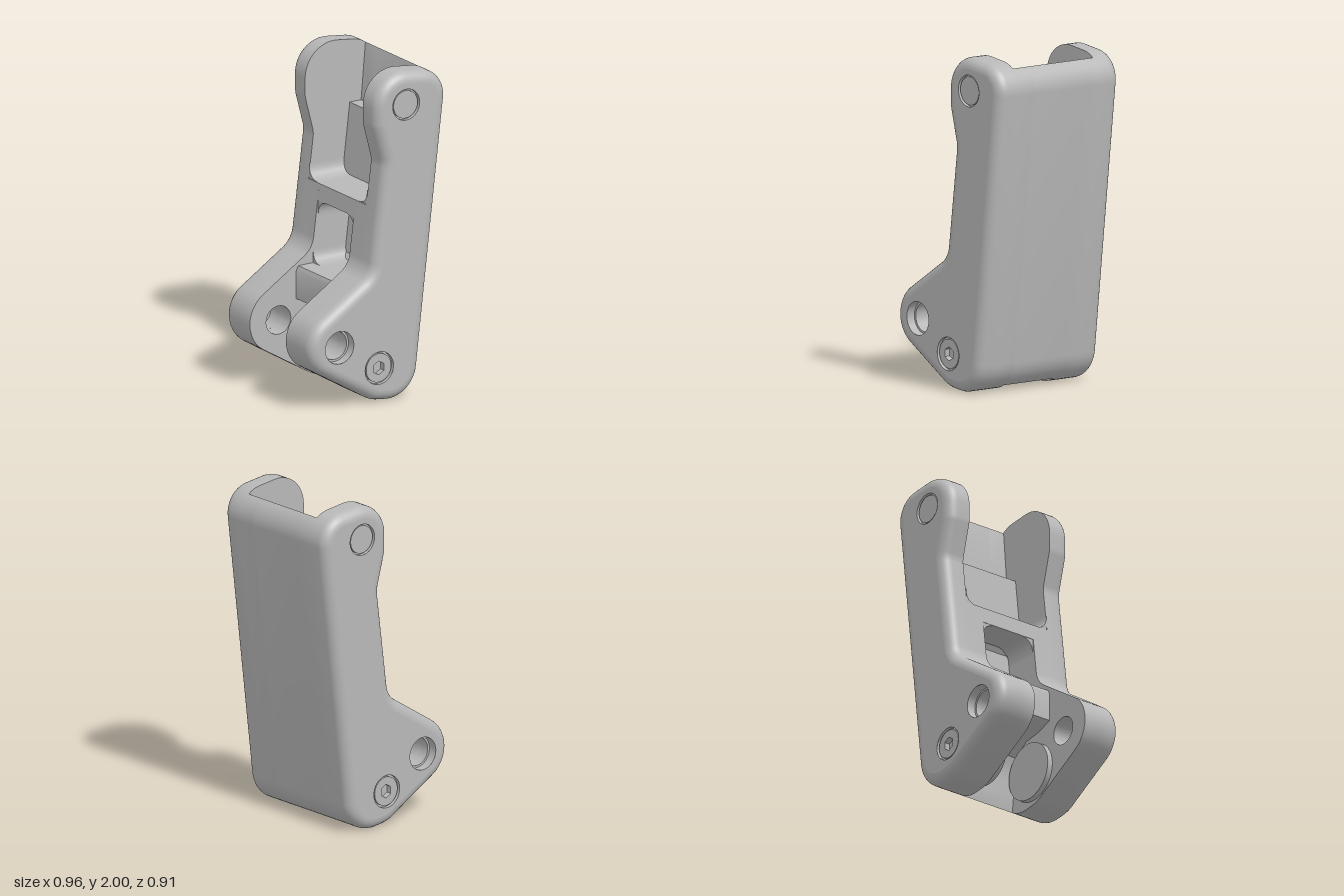
import * as THREE from 'three';
import { toCreasedNormals } from 'three/addons/utils/BufferGeometryUtils.js';

const OUT = 0.457, POCKET = 0.305, SLOT = 0.19, FILLET = 0.065;
const PIN = [0.19, 1.805], FORK = [-0.28, 0.39], SCREW = [0, 0.215];
const V = (x, y) => new THREE.Vector2(x, y);

// Polygon with each corner [x, y, radius] replaced by an arc
function rounded(corners, steps = 12) {
  const pts = [], n = corners.length;
  corners.forEach(([x, y, r], i) => {
    const p = V(x, y), [ax, ay] = corners[(i + n - 1) % n], [bx, by] = corners[(i + 1) % n];
    const a = V(ax, ay).sub(p).normalize(), b = V(bx, by).sub(p).normalize();
    const half = Math.acos(a.dot(b)) / 2;
    const mid = a.clone().add(b).normalize();
    const c = p.clone().addScaledVector(mid, r / Math.sin(half));
    const start = p.clone().addScaledVector(a, r / Math.tan(half)).sub(c);
    const turn = Math.sign(-a.x * b.y + a.y * b.x) * (Math.PI - 2 * half);
    for (let k = 0; k <= steps; k++) {
      pts.push(start.clone().rotateAround(V(0, 0), turn * k / steps).add(c));
    }
  });
  return pts;
}

// Side outline, counterclockwise from the top
const outline = rounded([
  [-0.015, 2.027, 0.2], [-0.015, 1.69, 0.15], [0.045, 1.46, 0.15], [-0.04, 0.79, 0.15],
  [-0.661, 0.39, 0.2], [-0.03, 0.012, 0.2], [0.264, -0.028, 0.2], [0.499, 1.963, 0.17],
]);

// Back wall and step of the upper pocket, down to its floor
const upperPocket = [V(0.41, 1.945), V(0.38, 1.6), V(0.3, 1.6), V(0.25, 1.18), V(0.0095, 1.18)];

function shapeWithHoles(pts, holes = []) {
  const s = new THREE.Shape(pts);
  for (const [[x, y], r] of holes) s.holes.push(new THREE.Path().absarc(x, y, r, 0, Math.PI * 2, true));
  return s;
}

// Outline inset along its normals
function inset(pts, d) {
  const n = pts.length;
  return pts.map((p, i) => {
    const e1 = p.clone().sub(pts[(i + n - 1) % n]).normalize();
    const e2 = pts[(i + 1) % n].clone().sub(p).normalize();
    const t = e1.add(e2).normalize();
    return V(p.x - t.y * d, p.y + t.x * d);
  });
}

// Plate rim: straight wall, then a quarter-round fillet to the outer face
function rimGeometry() {
  const pos = [], index = [], n = outline.length, steps = 7;
  const rings = [[outline, POCKET]];
  for (let k = 0; k <= steps; k++) {
    const t = (k / steps) * Math.PI / 2;
    rings.push([inset(outline, FILLET * (1 - Math.cos(t))), OUT - FILLET + FILLET * Math.sin(t)]);
  }
  rings.forEach(([pts, z], j) => pts.forEach((p, i) => {
    pos.push(p.x, p.y, z);
    if (j === 0) return;
    const a = (j - 1) * n + i, b = (j - 1) * n + (i + 1) % n;
    index.push(a, b, b + n, a, b + n, a + n);
  }));
  const g = new THREE.BufferGeometry();
  g.setAttribute('position', new THREE.Float32BufferAttribute(pos, 3));
  g.setIndex(index);
  return g;
}

export function createModel() {
  const metal = new THREE.MeshStandardMaterial({ color: 0xb8b8b8 });
  metal.name = 'grey metal';
  const metalOpen = metal.clone();
  metalOpen.side = THREE.DoubleSide;

  const model = new THREE.Group();
  model.name = 'hingeBracket';

  function add(parent, name, geometry, mat = metal) {
    const mesh = new THREE.Mesh(toCreasedNormals(geometry, 0.6), mat);
    mesh.name = name;
    parent.add(mesh);
    return mesh;
  }
  const extrude = (shape, depth, z) => new THREE.ExtrudeGeometry(shape,
    { depth, bevelEnabled: false, curveSegments: 32 }).translate(0, 0, z);

  // Turned surface about an axis along z
  function turned(parent, name, [x, y], profile) {
    const g = new THREE.LatheGeometry(profile.map(([r, z]) => V(r, z)), 40);
    add(parent, name, g.rotateX(Math.PI / 2).translate(x, y, 0), metalOpen);
  }

  // Concave rounding in a pocket corner, running along x
  function cornerFill(parent, y, z, s, r, x0, x1) {
    const shape = new THREE.Shape();
    shape.moveTo(0, 0);
    shape.lineTo(r, 0);
    shape.quadraticCurveTo(0, 0, 0, s * r);
    const g = new THREE.ExtrudeGeometry(shape, { depth: x1 - x0, bevelEnabled: false });
    add(parent, 'pocketCorner', g.rotateY(Math.PI / 2).translate(x0, y, z));
  }

  // Core: back wall, shelf, web and clearance around the screw
  const core = [
    ...outline.filter((p) => p.x > 0.18 && (p.y < 1 || p.x > 0.41)),
    ...upperPocket,
    V(-0.003, 1.08), V(0.21, 1.08), V(0.23, 1.05), V(0.19, 0.73), V(0.16, 0.70),
    V(-0.14, 0.70), V(-0.155, 0.67), V(-0.155, 0.5),
    V(-0.05, 0.46), V(0.06, 0.44), V(0.16, 0.37), V(0.2, 0.25), V(0.18, 0.12),
  ];
  add(model, 'core', extrude(new THREE.Shape(core), SLOT * 2, -SLOT));

  const cheek = [...outline.filter((p) => p.y < 1 || p.x > 0.41), ...upperPocket];

  for (const side of [1, -1]) {
    const half = new THREE.Group();
    half.name = side > 0 ? 'frontHalf' : 'backHalf';
    half.scale.z = side;
    model.add(half);

    // Cheek between the fork slot and the side plate
    add(half, 'cheek', extrude(shapeWithHoles(cheek, [[FORK, 0.087]]), POCKET - SLOT, SLOT));

    // Side plate
    add(half, 'plateRim', rimGeometry());
    const face = shapeWithHoles(inset(outline, FILLET), [[PIN, 0.095], [FORK, 0.1], [SCREW, 0.1]]);
    add(half, 'plateFace', new THREE.ShapeGeometry(face, 40).translate(0, 0, OUT));
    const inner = shapeWithHoles(outline, [[FORK, 0.087]]);
    add(half, 'plateInnerFace', new THREE.ShapeGeometry(inner, 40).rotateY(Math.PI)
      .scale(-1, 1, 1).translate(0, 0, POCKET), metalOpen);

    // Upper pin seat and fork bore
    turned(half, 'pinSeat', PIN, [[0.095, OUT], [0.095, 0.435], [0.085, 0.435], [0.085, 0.45], [0, 0.45]]);
    turned(half, 'forkBore', FORK, [[0.1, OUT], [0.1, 0.4], [0.087, 0.4], [0.087, POCKET]]);

    // Screw head with a hexagonal socket
    turned(half, 'screwRim', SCREW, [[0.1, OUT], [0.1, 0.435], [0.088, 0.435], [0.088, 0.45]]);
    const hex = Array.from({ length: 6 }, (_, i) => {
      const a = Math.PI / 6 + i * Math.PI / 3;
      return V(0.042 * Math.cos(a), 0.042 * Math.sin(a));
    });
    const head = new THREE.Shape().absarc(0, 0, 0.088, 0, Math.PI * 2);
    head.holes.push(new THREE.Path(hex));
    add(half, 'screwHead', extrude(head, 0.04, 0.41).translate(...SCREW, 0));
    add(half, 'socketFloor', new THREE.ShapeGeometry(new THREE.Shape(hex))
      .translate(...SCREW, 0.415));

    // Boss around the screw inside the slot
    add(half, 'screwBoss', new THREE.CylinderGeometry(0.18, 0.18, 0.035, 40)
      .rotateX(Math.PI / 2).translate(...SCREW, SLOT - 0.0175));

    // Rounded pocket corners
    cornerFill(half, 1.18, POCKET, 1, 0.09, 0.014, 0.27);
    cornerFill(half, 1.08, SLOT, -1, 0.1, 0, 0.22);
    cornerFill(half, 0.70, SLOT, 1, 0.08, -0.035, 0.2);
  }
  return model;
}
